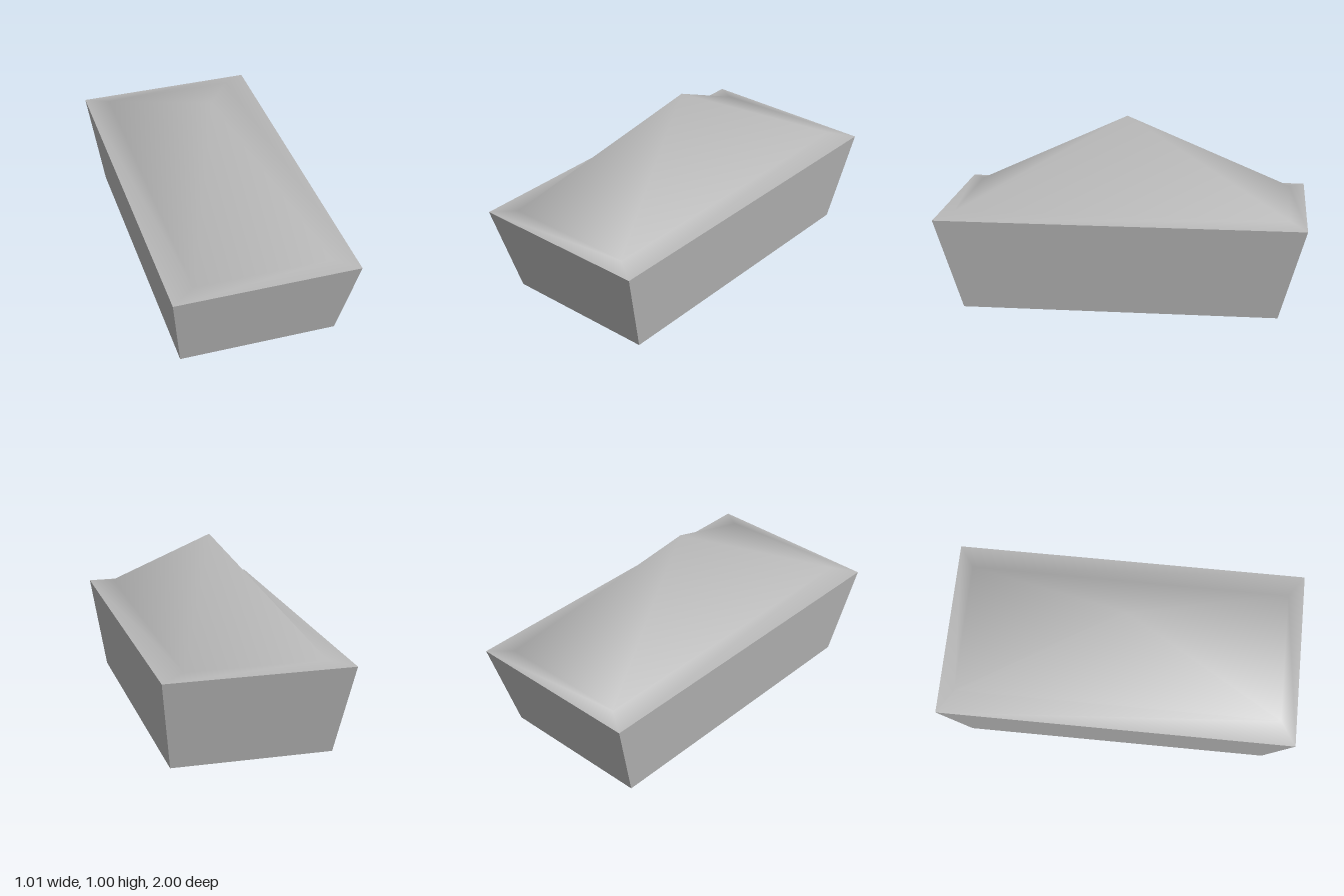
import * as THREE from 'three';

// Rectangular ring of four corners, counter-clockwise seen from above
const ring = (x, y, z) => [[-x, y, z], [x, y, z], [x, y, -z], [-x, y, -z]];

// Skin between stacked rings, optionally closed by an apex point
function skin(rings, apex) {
  const points = rings.flat();
  const index = [];
  for (let r = 0; r < rings.length - 1; r++) {
    for (let i = 0; i < 4; i++) {
      const a = r * 4 + i, b = r * 4 + (i + 1) % 4;
      index.push(a, b, b + 4, a, b + 4, a + 4);
    }
  }
  if (apex) {
    const top = points.push(apex) - 1;
    for (let i = 0; i < 4; i++) index.push(top - 4 + i, top - 4 + (i + 1) % 4, top);
  }
  const geometry = new THREE.BufferGeometry();
  geometry.setAttribute('position', new THREE.Float32BufferAttribute(points.flat(), 3));
  geometry.setIndex(index);
  return geometry;
}

export function createModel() {
  const group = new THREE.Group();
  group.name = 'roofedBox';
  const grey = new THREE.MeshStandardMaterial({ color: 0xb8b8b8, side: THREE.DoubleSide });
  grey.name = 'grey';

  // Flared walls, open underneath, with sharp corners
  const wallGeometry = skin([ring(0.436, 0, 0.858), ring(0.507, 0.507, 1)]).toNonIndexed();
  wallGeometry.computeVertexNormals();
  const walls = new THREE.Mesh(wallGeometry, grey);
  walls.name = 'walls';

  // Peaked roof with a shallow eave, smoothly shaded
  const roofGeometry = skin([ring(0.507, 0.507, 1), ring(0.375, 0.526, 0.91)], [0, 1, 0]);
  roofGeometry.computeVertexNormals();
  const roof = new THREE.Mesh(roofGeometry, grey);
  roof.name = 'roof';

  group.add(walls, roof);
  return group;
}
